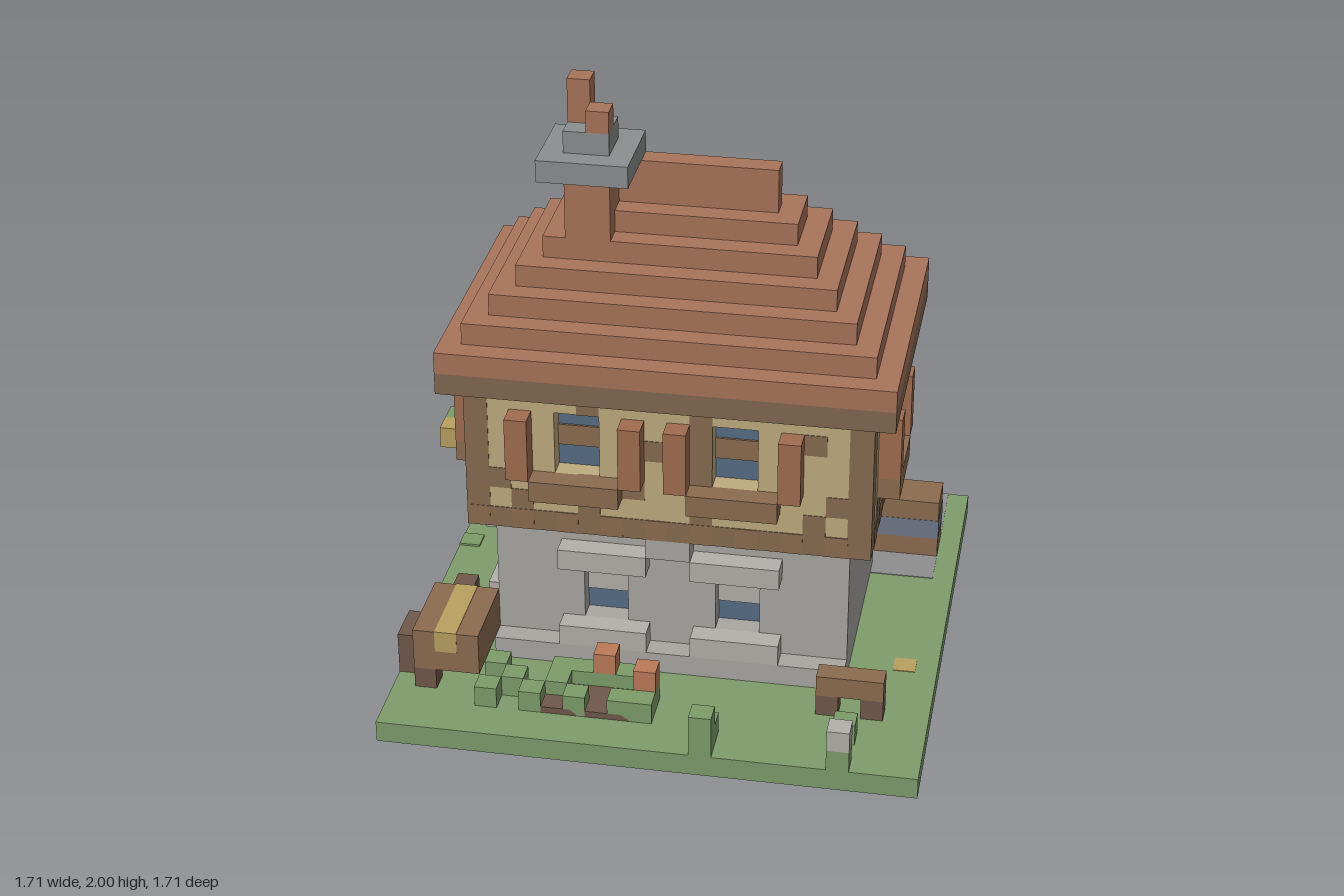
import * as THREE from 'three';

const C = {
  grass: 0x7f9c6c, paving: 0x8e8e8e, stone: 0xaaa7a3, cap: 0x8b8f8f, roof: 0xa9745a, eave: 0x80674f,
  plaster: 0xbfab7e, timber: 0x876b50, glass: 0x566c84, shutter: 0xa06c50, wood: 0x8c6c50, dark: 0x70584a,
  pale: 0xb4b0aa, leaf: 0x7d9c6a, orange: 0xbc7a58, yellow: 0xb8a060, red: 0xa85a48, slate: 0x707788,
};
const mats = {};
const mat = (c) => (mats[c] ??= new THREE.MeshStandardMaterial({ color: C[c], flatShading: true, side: THREE.DoubleSide }));

// Block given by its limits in voxel units
function box(parent, name, color, x0, x1, y0, y1, z0, z1) {
  const m = new THREE.Mesh(new THREE.BoxGeometry(x1 - x0, y1 - y0, z1 - z0), mat(color));
  m.position.set((x0 + x1) / 2, (y0 + y1) / 2, (z0 + z1) / 2);
  m.name = name;
  parent.add(m);
  return m;
}

function rect(T, x0, x1, y0, y1) {
  const s = new T();
  s.moveTo(x0, y0); s.lineTo(x1, y0); s.lineTo(x1, y1); s.lineTo(x0, y1); s.closePath();
  return s;
}

// One-voxel wall with openings, in local coordinates with the outside at z = 1
function facade(parent, name, color, rot, x, z, a, b, y0, y1, holes) {
  const g = new THREE.Group();
  g.name = name;
  g.rotation.y = rot;
  g.position.set(x, 0, z);
  const shape = rect(THREE.Shape, a, b, y0, y1);
  for (const h of holes) shape.holes.push(rect(THREE.Path, ...h));
  const wall = new THREE.Mesh(new THREE.ExtrudeGeometry(shape, { depth: 1, bevelEnabled: false }), mat(color));
  wall.name = name + 'Wall';
  g.add(wall);
  parent.add(g);
  return g;
}

// Recessed pane with a middle bar
function pane(g, u, y, bar) {
  box(g, 'windowPane', 'glass', u, u + 2, y, y + 3, -0.1, 0.1);
  box(g, 'windowBar', bar, u, u + 2, y + 1, y + 2, 0, 0.2);
}

// Thin timber laid on a facade
const beam = (g, a, b, y0, y1) => box(g, 'timberBeam', 'timber', a, b, y0, y1, 0.9, 1.03);

function upperWall(parent, name, rot, x, z, a, b, wins, posts, braces) {
  const g = facade(parent, name, 'plaster', rot, x, z, a, b, 8, 15, wins.map((w) => [w.u, w.u + 2, 11, 14]));
  beam(g, a, b, 8, 9);
  for (let u = Math.ceil(a); u < b; u += 2) box(g, 'joistEnd', 'wood', u, u + 1, 8, 9, 0.95, 1.05);
  for (const w of wins) {
    pane(g, w.u, 11, 'wood');
    for (const s of w.shutters) box(g, 'shutter', 'shutter', s, s + 1, 11, 14, 1, 2);
    box(g, 'windowSill', 'wood', w.u - 1, w.u + 3, 10, 11, 1, 2);
  }
  for (const p of posts) {
    beam(g, p, p + 1, 14, 15);
    beam(g, p, p + 1, 9, 11);
    if (!wins.some((w) => p >= w.u && p < w.u + 2)) beam(g, p, p + 1, 11, 14);
  }
  for (const [u, y] of braces) beam(g, u, u + 1, y, y + 1);
  return g;
}

function stoneWindow(g, u) {
  pane(g, u, 3, 'pale');
  box(g, 'stoneLintel', 'pale', u - 1, u + 3, 6, 7, 1, 2);
  box(g, 'stoneSill', 'pale', u - 1, u + 3, 2, 3, 1, 2);
}

export function createModel() {
  const root = new THREE.Group();
  root.name = 'voxelHouse';
  const g = new THREE.Group();
  g.name = 'house';
  g.scale.setScalar(1 / 14);
  root.add(g);

  // Ground: open-bottomed slab with an opening under the house
  const lawnShape = rect(THREE.Shape, -12, 12, -12, 12);
  lawnShape.holes.push(rect(THREE.Path, -7, 7, -4, 3));
  const lawn = new THREE.Mesh(new THREE.ShapeGeometry(lawnShape), mat('grass'));
  lawn.rotation.x = -Math.PI / 2;
  lawn.position.y = 1;
  lawn.name = 'lawn';
  g.add(lawn);
  for (const s of [-1, 1]) {
    box(g, 'lawnEdge', 'grass', -12, 12, 0, 1, s * 12 - (s > 0 ? 0.3 : 0), s * 12 + (s < 0 ? 0.3 : 0));
    box(g, 'lawnEdge', 'grass', s * 12 - (s > 0 ? 0.3 : 0), s * 12 + (s < 0 ? 0.3 : 0), 0, 1, -11.7, 11.7);
  }
  box(g, 'paving', 'paving', -11, 11, 0.95, 1.03, -12, -5);
  box(g, 'pavingEdge', 'paving', -12, -11, 0.95, 1.03, -12, -10);
  box(g, 'pavingEdge', 'paving', -10, 11, 0.95, 1.03, -5, -4);
  box(g, 'lawnPatch', 'yellow', 10, 11, 0.95, 1.03, 3, 4);
  box(g, 'lawnTuft', 'leaf', -12, -11, 1, 1.1, -4, -3);

  // Stone ground floor
  const front = facade(g, 'stoneFront', 'stone', 0, 0, 4, -8, 8, 1, 8, [[-4, -2, 3, 6], [2, 4, 3, 6]]);
  for (const u of [-4, 2]) stoneWindow(front, u);
  const left = facade(g, 'stoneSide', 'stone', -Math.PI / 2, -7, 0, -3, 4, 1, 8, [[0, 2, 3, 6]]);
  stoneWindow(left, 0);
  facade(g, 'stoneSide', 'stone', Math.PI / 2, 7, 0, -4, 3, 1, 8, []);
  const back = facade(g, 'stoneBack', 'stone', Math.PI, 0, -3, -8, 8, 1, 8, [[-6, -3, 1.02, 6], [-1, 7, 1.02, 6]]);
  box(back, 'backDoor', 'dark', -6, -3, 1, 6, -0.1, 0.1);
  box(back, 'shopWindow', 'glass', -1, 7, 1, 6, -0.1, 0.1);
  for (const u of [-1, 2.5, 6]) box(back, 'shopPost', 'wood', u, u + 1, 1, 6, 0.1, 0.4);
  box(back, 'shopCounter', 'dark', -1, 7, 1, 3, 0.5, 2);
  box(g, 'plinth', 'stone', -8, 8, 1, 2, 5, 6);
  for (const x of [-8, 7]) box(g, 'cornerStone', 'stone', x, x + 1, 1, 3, -5, -4);
  box(g, 'corbel', 'stone', -1, 1, 7, 8, 5, 6);

  // Striped awning over the shop
  for (let i = 0; i < 5; i++) {
    const x = -8 + 2 * i, c = i % 2 ? 'orange' : 'pale';
    box(g, 'awningStripe', c, x, x + 2, 7, 8, -6, -4);
    box(g, 'awningStripe', c, x, x + 2, 6, 7, -7, -6);
  }

  // Timbered upper floor
  box(g, 'upperFloor', 'timber', -8, 8, 8, 8.2, -4, 5);
  upperWall(g, 'upperFront', 0, 0, 5, -9, 9,
    [{ u: -5, shutters: [-7, -2] }, { u: 2, shutters: [0, 5] }], [-9, -4, 1, 8], [[-8, 10], [-7, 9], [7, 10], [6, 9], [-1, 12], [-2, 10], [6, 13]]);
  upperWall(g, 'upperBack', Math.PI, 0, -4, -9, 9,
    [{ u: -3, shutters: [-5, 0] }, { u: 4, shutters: [2, 7] }], [-9, -1, 3, 8], [[-8, 13], [-7, 12], [-6, 11], [1, 11], [7, 10]]);
  upperWall(g, 'upperSide', Math.PI / 2, 8, 0, -5, 4,
    [{ u: -3, shutters: [-4, 0] }], [-2], [[1, 12], [2, 11], [3, 10], [-4, 9]]);
  upperWall(g, 'upperSide', -Math.PI / 2, -8, 0, -4, 5,
    [{ u: 1, shutters: [-1, 3] }], [1], [[-2, 12], [-3, 11], [-4, 10], [4, 9]]);
  for (const x of [-9, 8]) for (const z of [-5, 5])
    box(g, 'cornerPost', 'timber', x - 0.03, x + 1.03, 8, 15, z - 0.03, z + 1.03);

  // Flower boxes at the rear and side windows
  for (const x of [-6, 1]) {
    box(g, 'flowerBoxLeaves', 'leaf', x + 1, x + 2, 9, 11, -7, -6);
    box(g, 'flowerBoxBlooms', 'yellow', x, x + 1, 8, 10, -7, -6);
    box(g, 'flowerBoxVine', 'yellow', x, x + 2, 8, 10, -6, -5);
  }
  box(g, 'flowerBoxBlooms', 'yellow', -11, -10, 10, 11, 2, 3);
  box(g, 'flowerBoxLeaves', 'leaf', -11, -10, 10, 11, 1, 2);

  // Stepped hip roof
  box(g, 'eave', 'eave', -10, 10, 15, 16, -6, 7);
  for (let i = 0; i < 6; i++) box(g, 'roofStep', 'roof', i - 10, 10 - i, 16 + i, 17 + i, i - 6, 7 - i);
  box(g, 'roofRidge', 'roof', -4, 4, 22, 24, 0, 1);

  // Chimney
  box(g, 'chimneyStack', 'roof', -5, -3, 19, 24, 1, 3);
  box(g, 'chimneyCap', 'cap', -6, -2, 24, 25, 0, 4);
  box(g, 'chimneyNeck', 'cap', -5, -3, 25, 26, 1, 3);
  box(g, 'chimneyPot', 'roof', -5, -4, 26, 28, 1, 2);
  box(g, 'chimneyPot', 'roof', -4, -3, 26, 27, 2, 3);

  // Barrels and market crates behind the house
  for (const [x, top] of [[7, 5], [9, 4]]) {
    box(g, 'barrel', 'wood', x, x + 2, 1, top, -8, -6);
    box(g, 'barrelBand', 'slate', x - 0.02, x + 2.02, 2, 3, -8.02, -5.98);
  }
  for (const [x, c] of [[-7, 'red'], [-4, 'leaf']]) {
    box(g, 'produceCrate', 'wood', x, x + 2, 1, 2, -9, -7);
    box(g, 'produce', c, x, x + 2, 2, 3, -9, -7);
  }
  box(g, 'stallTable', 'pale', -1, 3, 1, 3, -9, -7);
  for (const x of [-1, 1]) box(g, 'stallGoods', 'wood', x, x + 1, 3, 4, -8, -7);

  // Cart beside the front corner
  box(g, 'cartBody', 'wood', -11, -8, 2, 4, 5, 9);
  box(g, 'cartStripe', 'yellow', -10, -9, 3, 4.03, 4.98, 9.02);
  box(g, 'cartWheel', 'dark', -12, -11, 1, 3, 6, 8);
  box(g, 'cartLeg', 'dark', -11, -10, 1, 2, 8, 9);
  box(g, 'cartLeg', 'dark', -11, -10, 1, 2, 5, 6);
  box(g, 'cartStep', 'dark', -11, -10, 1, 2, 1, 5);

  // Bench by the front wall
  box(g, 'benchSeat', 'wood', 7, 10, 2, 3, 7, 8);
  for (const x of [7, 9]) box(g, 'benchLeg', 'dark', x, x + 1, 1, 2, 7, 8);

  // Flower bed and garden plants
  box(g, 'flowerBedSoil', 'dark', -5, -1, 1, 1.3, 8, 10);
  for (const [x, z] of [[-8, 7], [-7, 8], [-5, 7], [-6, 9], [-8, 9], [-4, 7], [-2, 7], [-4, 9], [-2, 9], [-1, 9], [-5, 8], [-1, 8], [-3, 7]])
    box(g, 'shrub', 'leaf', x, x + 1, 1, 2, z, z + 1);
  for (const [x, z] of [[-3, 7], [-1, 8]]) box(g, 'flower', 'orange', x, x + 1, 2, 3, z, z + 1);
  box(g, 'tallPlant', 'leaf', 2, 3, 1, 3, 11, 12);
  box(g, 'tallPlantBase', 'leaf', 2, 3, 1, 2, 10, 11);
  box(g, 'whiteFlowerStem', 'leaf', 8, 9, 1, 2, 11, 12);
  box(g, 'whiteFlower', 'pale', 8, 9, 2, 3, 11, 12);
  box(g, 'shrub', 'leaf', 8, 9, 1, 2, 9, 10);
  return root;
}
